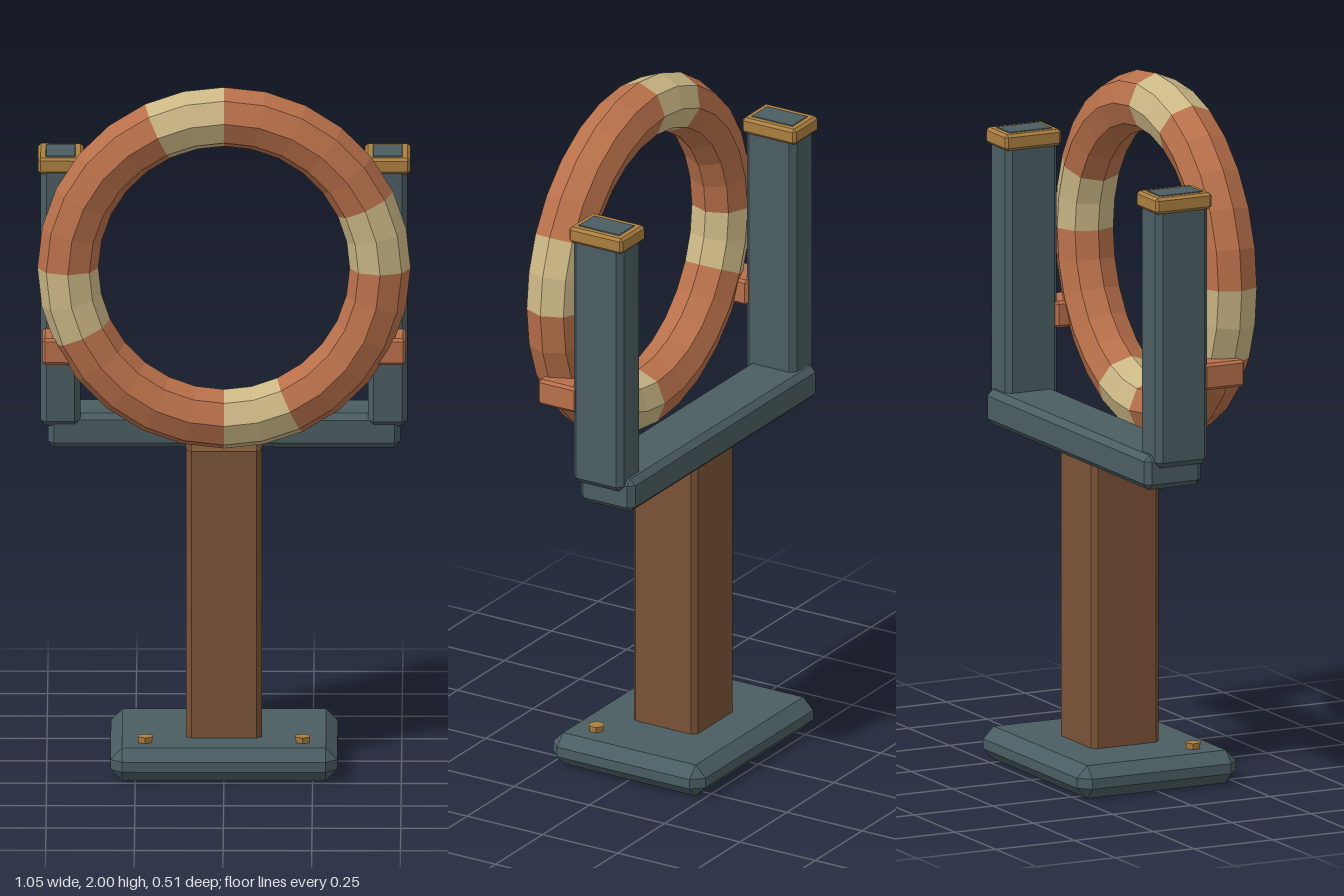
import * as THREE from 'three';
import { ConvexGeometry } from 'three/addons/geometries/ConvexGeometry.js';

const material = (name, color) => {
  const m = new THREE.MeshStandardMaterial({ color, flatShading: true });
  m.name = name;
  return m;
};

// Box between two corners, with every edge cut by a flat chamfer
function chamferBox([x0, y0, z0], [x1, y1, z1], c) {
  const half = [(x1 - x0) / 2, (y1 - y0) / 2, (z1 - z0) / 2];
  const points = [];
  for (const sx of [-1, 1]) for (const sy of [-1, 1]) for (const sz of [-1, 1]) {
    for (let axis = 0; axis < 3; axis++) {
      const h = half.map((v, i) => (i === axis ? v : v - c));
      points.push(new THREE.Vector3(sx * h[0], sy * h[1], sz * h[2]));
    }
  }
  return new ConvexGeometry(points).translate((x0 + x1) / 2, (y0 + y1) / 2, (z0 + z1) / 2);
}

export function createModel() {
  const slate = material('slate', 0x4a5d62);
  const wood = material('brown wood', 0x7a5236);
  const bronze = material('bronze', 0xac7f40);
  const orange = material('burnt orange', 0xb8704a);
  const cream = material('cream', 0xcbb785);

  const model = new THREE.Group();
  model.name = 'ringStand';
  const add = (name, geometry, mat, parent = model) => {
    const mesh = new THREE.Mesh(geometry, mat);
    mesh.name = name;
    parent.add(mesh);
    return mesh;
  };

  // Foot, post and crossbar
  add('base', chamferBox([-0.32, 0, -0.253], [0.32, 0.095, 0.253], 0.033), slate);
  add('post', chamferBox([-0.107, 0.07, -0.107], [0.107, 0.945, 0.107], 0.015), wood);
  add('crossbar', chamferBox([-0.497, 0.92, -0.14], [0.497, 1.02, 0.04], 0.017), slate);

  // Mirrored side parts
  for (const [side, s] of [['left', 1], ['right', -1]]) {
    const box = (xa, xb, y0, y1, z0, z1, c) =>
      chamferBox([Math.min(s * xa, s * xb), y0, z0], [Math.max(s * xa, s * xb), y1, z1], c);
    // Upright ends just proud of its collar-like cap
    add(side + 'Upright', box(0.405, 0.517, 0.985, 1.771, -0.115, 0.05, 0.016), slate);
    add(side + 'Cap', box(0.397, 0.525, 1.722, 1.769, -0.123, 0.055, 0.008), bronze);
    add(side + 'Bracket', box(0.395, 0.512, 1.195, 1.272, 0.035, 0.166, 0.008), orange);
    // Bolt on the front of the base
    add(side + 'Bolt', new THREE.CylinderGeometry(0.024, 0.02, 0.03, 6), bronze)
      .position.set(s * 0.222, 0.097, 0.15);
  }

  // Ring: four cream bands alternating with four orange arcs
  const ring = new THREE.Group();
  ring.name = 'ring';
  ring.position.set(0, 1.475, 0.147);
  model.add(ring);
  const deg = Math.PI / 180;
  const arc = (name, start, span, segments, mat) =>
    add(name, new THREE.TorusGeometry(0.44, 0.086, 8, segments, span * deg).rotateZ(start * deg), mat, ring);
  for (let i = 0; i < 4; i++) {
    arc('creamBand' + (i + 1), i * 90, 25, 2, cream);
    arc('orangeArc' + (i + 1), i * 90 + 25, 65, 5, orange);
  }
  return model;
}
